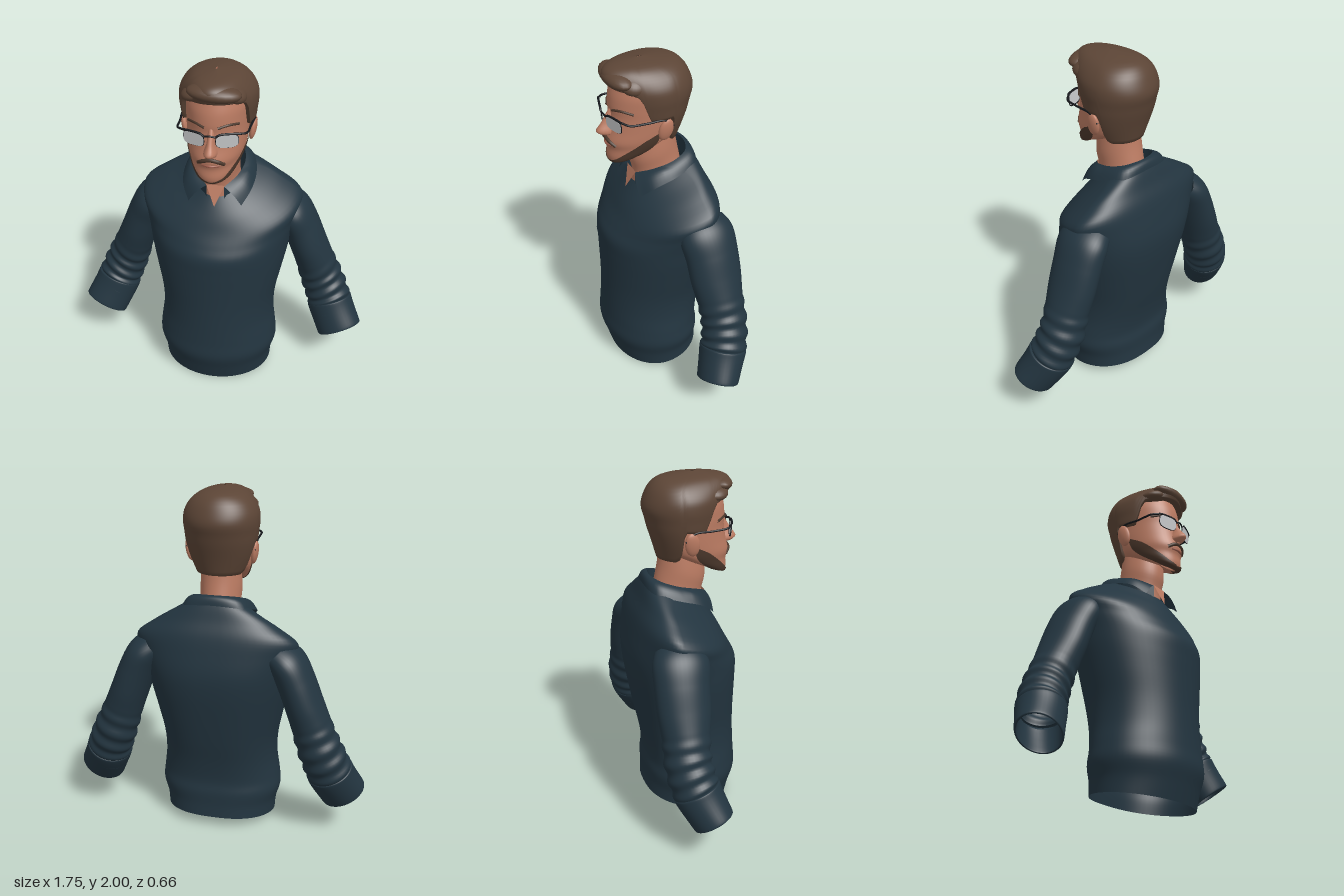
import * as THREE from 'three';

const mat = (name, color, side = THREE.FrontSide) => {
  const m = new THREE.MeshStandardMaterial({ color, side });
  m.name = name;
  return m;
};

// Smooth interpolation between rows of numbers; t counts rows
function sample(rows, t) {
  const n = rows.length - 1;
  const i = Math.max(0, Math.min(Math.floor(t), n - 1)), f = t - i;
  const a = rows[Math.max(i - 1, 0)], b = rows[i], c = rows[i + 1], d = rows[Math.min(i + 2, n)];
  return b.map((q, k) => q + 0.5 * f * (c[k] - a[k] + f * (2 * a[k] - 5 * q + 4 * c[k] - d[k]
    + f * (3 * (q - c[k]) + d[k] - a[k]))));
}

// Piecewise linear lookup
function ramp(pts, x) {
  for (let i = 1; i < pts.length; i++) {
    const [x0, y0] = pts[i - 1], [x1, y1] = pts[i];
    if (x <= x1) return y0 + (y1 - y0) * (x - x0) / (x1 - x0);
  }
  return pts[pts.length - 1][1];
}

// Surface from fn(u, v) -> [x, y, z]; closed wraps u
function grid(fn, nu, nv, closed = true) {
  const pos = [], idx = [], w = closed ? nu : nu + 1;
  for (let j = 0; j <= nv; j++) for (let i = 0; i < w; i++) pos.push(...fn(i / nu, j / nv));
  for (let j = 0; j < nv; j++) for (let i = 0; i < nu; i++) {
    const a = j * w + i, c = j * w + (i + 1) % w, b = a + w, d = c + w;
    idx.push(a, b, c, b, d, c);
  }
  const g = new THREE.BufferGeometry();
  g.setAttribute('position', new THREE.Float32BufferAttribute(pos, 3));
  g.setIndex(idx);
  g.computeVertexNormals();
  return g;
}

// Point on a tilted oval ring: [yFront, yBack, halfWidth, zFront, zBack, zWidest]
function ringPoint([yF, yB, hw, zF, zB, zc], a, off = 0, backPower = 1) {
  const c = Math.cos(a), s = Math.sin(a);
  const z = zc + (s > 0 ? zF - zc : zc - zB) * s;
  const x = hw * Math.sign(c) * Math.pow(Math.abs(c), s < 0 ? backPower : 1);
  return [x + off * c, yF + (yB - yF) * (zF - z) / (zF - zB) - off * 0.7, z + off * s];
}
const TAU = Math.PI * 2;
const loft = (rows, nu, perRow, power = 1) => grid((u, v) =>
  ringPoint(sample(rows, v * (rows.length - 1)), u * TAU, 0, power), nu, (rows.length - 1) * perRow);

const V = p => new THREE.Vector3(...p);
const tube = (pts, r, n = 24, closed = false) =>
  new THREE.TubeGeometry(new THREE.CatmullRomCurve3(pts.map(V), closed), n, r, 8, closed);

const TORSO = [
  [0.005, 0.07, 0.33, 0.27, -0.24, 0.02], [0.1, 0.14, 0.338, 0.297, -0.235, 0.02],
  [0.2, 0.22, 0.362, 0.325, -0.235, 0.02], [0.3, 0.3, 0.355, 0.32, -0.225, 0.02],
  [0.42, 0.42, 0.34, 0.315, -0.24, 0.01], [0.55, 0.56, 0.345, 0.312, -0.27, 0],
  [0.7, 0.72, 0.375, 0.313, -0.3, -0.02], [0.82, 0.88, 0.405, 0.315, -0.325, -0.05],
  [0.92, 1.0, 0.425, 0.313, -0.33, -0.08], [0.99, 1.12, 0.45, 0.28, -0.31, -0.11],
  [1.06, 1.22, 0.465, 0.24, -0.285, -0.12], [1.13, 1.3, 0.36, 0.205, -0.25, -0.12],
  [1.19, 1.365, 0.25, 0.17, -0.225, -0.12], [1.25, 1.42, 0.16, 0.13, -0.2, -0.08]];
const NECK = [
  [1.15, 1.3, 0.13, 0.12, -0.17, -0.03], [1.3, 1.4, 0.115, 0.118, -0.15, -0.02],
  [1.4, 1.5, 0.118, 0.14, -0.13, 0], [1.5, 1.6, 0.11, 0.14, -0.12, 0]];
const HEAD = [
  [1.412, 1.47, 0.03, 0.235, 0.15, 0.19], [1.42, 1.49, 0.09, 0.26, 0.08, 0.16],
  [1.45, 1.53, 0.125, 0.268, -0.02, 0.1], [1.5, 1.57, 0.148, 0.266, -0.1, 0.05],
  [1.55, 1.6, 0.16, 0.278, -0.12, 0.03], [1.62, 1.65, 0.167, 0.262, -0.15, 0.02],
  [1.7, 1.7, 0.17, 0.25, -0.17, 0.02], [1.76, 1.76, 0.172, 0.252, -0.18, 0.02],
  [1.84, 1.84, 0.172, 0.24, -0.18, 0.02], [1.92, 1.92, 0.14, 0.2, -0.15, 0.02],
  [1.96, 1.96, 0.03, 0.06, -0.03, 0.02]];
const HAIR = [
  [1.53, 0.14, 0.1, -0.135, 0], [1.62, 0.178, 0.14, -0.16, 0], [1.7, 0.2, 0.2, -0.185, 0],
  [1.76, 0.208, 0.225, -0.2, 0], [1.82, 0.214, 0.24, -0.215, 0], [1.88, 0.205, 0.265, -0.2, 0],
  [1.94, 0.165, 0.285, -0.165, 0], [1.98, 0.105, 0.235, -0.1, 0.04],
  [2.0, 0.005, 0.09, 0.06, 0.075]].map(r => [r[0], ...r]);
const NOSE = [
  [1.582, 1.582, 0.012, 0.285, 0.23, 0.25], [1.594, 1.594, 0.034, 0.31, 0.22, 0.26],
  [1.615, 1.615, 0.036, 0.33, 0.22, 0.26], [1.66, 1.66, 0.022, 0.298, 0.22, 0.25],
  [1.72, 1.72, 0.018, 0.262, 0.21, 0.23], [1.75, 1.75, 0.012, 0.245, 0.2, 0.22]];
// Sleeve path: x, y, z, radius across, radius in depth
const SLEEVE = [
  [0.36, 1.1, -0.12, 0.09, 0.14], [0.42, 1.05, -0.13, 0.105, 0.16], [0.47, 0.95, -0.14, 0.108, 0.155],
  [0.52, 0.82, -0.145, 0.11, 0.15], [0.565, 0.7, -0.15, 0.115, 0.135], [0.61, 0.58, -0.155, 0.125, 0.13],
  [0.655, 0.47, -0.14, 0.13, 0.13], [0.69, 0.38, -0.11, 0.13, 0.125], [0.755, 0.25, -0.05, 0.133, 0.112]];

function sleevePoint(t, a, extra) {
  const r = sample(SLEEVE, t), n = sample(SLEEVE, t + 0.02), m = sample(SLEEVE, t - 0.02);
  const d = V([n[0] - m[0], n[1] - m[1], n[2] - m[2]]).normalize();
  const w = V([0, 0, 1]).addScaledVector(d, -d.z).normalize();
  const u = new THREE.Vector3().crossVectors(w, d);
  const k = 1 + extra;
  return V(r).addScaledVector(u, Math.cos(a) * r[3] * k).addScaledVector(w, Math.sin(a) * r[4] * k).toArray();
}

export function createModel() {
  const model = new THREE.Group();
  const shirt = mat('navy knit', 0x233540, THREE.DoubleSide);
  const skin = mat('skin', 0xbc7c63, THREE.DoubleSide);
  const hairMat = mat('brown hair', 0x5c4536, THREE.DoubleSide);
  const beardMat = mat('dark beard', 0x4c382c, THREE.DoubleSide);
  const lip = mat('lips', 0xa4614f);
  const frame = mat('black frame', 0x15171b);
  const glass = mat('pale lens', 0xc9cbcd, THREE.DoubleSide);
  const add = (name, geo, m, parent = model) => {
    const mesh = new THREE.Mesh(geo, m);
    mesh.name = name;
    parent.add(mesh);
    return mesh;
  };
  const sides = (name, build) => [1, -1].forEach(s => {
    const g = new THREE.Group();
    g.name = (s > 0 ? 'left ' : 'right ') + name;
    g.scale.x = s;
    build(g);
    model.add(g);
  });

  // Sweater body, open at the hem
  add('sweater', loft(TORSO, 64, 5, 0.8), shirt);

  // Sleeves with crumpled folds and a rolled cuff
  sides('arm', g => {
    add('sleeve', grid((u, v) => {
      const t = 7.2 * (1 - v), a = u * TAU;
      const fade = THREE.MathUtils.smoothstep(t, 3.7, 4.8);
      return sleevePoint(t, a, 0.05 * fade * Math.sin(t * 9 + Math.cos(a) * 1.1 + Math.sin(a * 2) * 0.5));
    }, 40, 90), shirt, g);
    const cuff = [[6.9, -0.15], [7.9, -0.07], [8, -0.03], [8, 0], [7.9, 0.03], [7.4, 0.04], [6.75, 0.06], [6.6, 0.03], [6.58, -0.08]];
    add('cuff', grid((u, v) => {
      const [t, e] = sample(cuff, v * 8);
      return sleevePoint(t, u * TAU, e);
    }, 40, 32), shirt, g);
  });

  // Collar: folded leaf and inner stand
  const half = (p) => [...p, ...p.slice(0, -1).reverse().map(q => [-q[0], q[1], q[2]])].map(V);
  const top = new THREE.CatmullRomCurve3(half([[0.05, 1.32, 0.13], [0.115, 1.36, 0.05],
    [0.14, 1.395, -0.06], [0.11, 1.425, -0.15], [0, 1.435, -0.185]]));
  const low = new THREE.CatmullRomCurve3(half([[0.15, 1.22, 0.15], [0.195, 1.285, 0.07],
    [0.205, 1.33, -0.06], [0.165, 1.368, -0.19], [0, 1.385, -0.222]]));
  add('collar', grid((u, v) => {
    const p = low.getPoint(u).lerp(top.getPoint(u), v);
    const b = 0.014 * Math.sin(Math.PI * v);
    return [p.x * (1 + b), p.y + b, p.z + (p.z > 0 ? b : -b) * 0.5];
  }, 48, 8, false), shirt);
  add('collarStand', grid((u, v) => {
    const p = top.getPoint(u);
    return [p.x * (0.97 + 0.03 * v), p.y - 0.1 * (1 - v), p.z];
  }, 48, 2, false), shirt);
  const notch = new THREE.BufferGeometry().setFromPoints(
    [[-0.052, 1.325, 0.128], [0, 1.205, 0.168], [0.052, 1.325, 0.128]].map(V));
  notch.computeVertexNormals();
  add('neckOpening', notch, skin);

  // Neck, head, nose and ears
  add('neck', loft(NECK, 40, 5), skin);
  add('head', loft(HEAD, 56, 5), skin);
  add('nose', loft(NOSE, 20, 4), skin);
  sides('ear', g => {
    const ear = add('ear', new THREE.SphereGeometry(1, 20, 14), skin, g);
    ear.scale.set(0.02, 0.068, 0.042);
    ear.position.set(0.188, 1.642, 0.01);
    ear.rotation.set(-0.15, 0, -0.15);
  });

  // Jaw beard follows the head surface
  const beardTop = [[0, 4.9], [20, 4.2], [40, 3], [60, 1.9], [90, 1.3]];
  add('beard', grid((u, v) => {
    const deg = 2 + 176 * u, t = 0.1 + (ramp(beardTop, Math.min(deg, 180 - deg)) - 0.1) * v;
    return ringPoint(sample(HEAD, t), deg * Math.PI / 180, 0.005);
  }, 48, 14, false), beardMat);
  add('moustache', tube([[-0.07, 1.535, 0.247], [-0.04, 1.556, 0.27], [0, 1.566, 0.276],
    [0.04, 1.556, 0.27], [0.07, 1.535, 0.247]], 0.011), beardMat);
  add('mouth', tube([[-0.045, 1.53, 0.259], [0, 1.528, 0.274], [0.045, 1.53, 0.259]], 0.008), lip);

  // Hair cap with sideburns, plus a swept quiff
  const hairline = [[-90, 0], [-28, 0], [-16, 0.3], [-10, 2.2], [26, 2], [36, 4.5], [50, 4.9], [90, 5.05]];
  add('hair', grid((u, v) => {
    const a = u * TAU, deg = Math.asin(Math.sin(a)) * 180 / Math.PI;
    const t0 = ramp(hairline, deg);
    const p = ringPoint(sample(HAIR, t0 + (8 - t0) * Math.max(0, v * 25 - 1) / 24), a);
    return v === 0 ? [p[0] * 0.85, p[1], p[2] * 0.85] : p;
  }, 96, 25), hairMat);
  [[0.01, 1.925, 0.212, 0.145, 0.046, 0.078, -0.06], [-0.09, 1.9, 0.16, 0.085, 0.04, 0.08, 0.25],
    [0.1, 1.905, 0.15, 0.075, 0.045, 0.08, -0.45]].forEach(([x, y, z, sx, sy, sz, tilt]) => {
    const q = add('quiff', new THREE.SphereGeometry(1, 24, 16), hairMat);
    q.position.set(x, y, z);
    q.scale.set(sx, sy, sz);
    q.rotation.z = tilt;
  });

  // Eyebrows and glasses
  const oval = [];
  for (let i = 0; i < 28; i++) {
    const c = Math.cos(i / 28 * TAU), s = Math.sin(i / 28 * TAU);
    oval.push([0.059 * Math.sign(c) * Math.abs(c) ** 0.65, 0.04 * Math.sign(s) * Math.abs(s) ** 0.65, 0]);
  }
  const lensShape = new THREE.Shape(oval.map(p => new THREE.Vector2(p[0], p[1])));
  sides('eyewear', g => {
    add('eyebrow', tube([[0.035, 1.742, 0.25], [0.085, 1.753, 0.224], [0.135, 1.742, 0.17]], 0.007), beardMat, g);
    const eye = new THREE.Group();
    eye.name = 'lensAssembly';
    eye.position.set(0.088, 1.685, 0.264);
    eye.rotation.set(0.1, 0.3, 0);
    g.add(eye);
    add('lens', new THREE.ExtrudeGeometry(lensShape, { depth: 0.004, bevelEnabled: false }), glass, eye);
    add('rim', tube(oval, 0.003, 56, true), frame, eye);
    add('browBar', tube([[-0.06, 0.028, 0.002], [-0.04, 0.04, 0.002], [0.04, 0.041, 0.002], [0.07, 0.036, 0]], 0.006), frame, eye);
    add('temple', tube([[0.15, 1.722, 0.245], [0.182, 1.715, 0.215], [0.19, 1.708, 0.12],
      [0.198, 1.705, 0.02], [0.196, 1.66, -0.03]], 0.006, 32), frame, g);
  });
  add('bridge', tube([[-0.034, 1.708, 0.283], [0, 1.716, 0.29], [0.034, 1.708, 0.283]], 0.005, 12), frame);

  return model;
}
